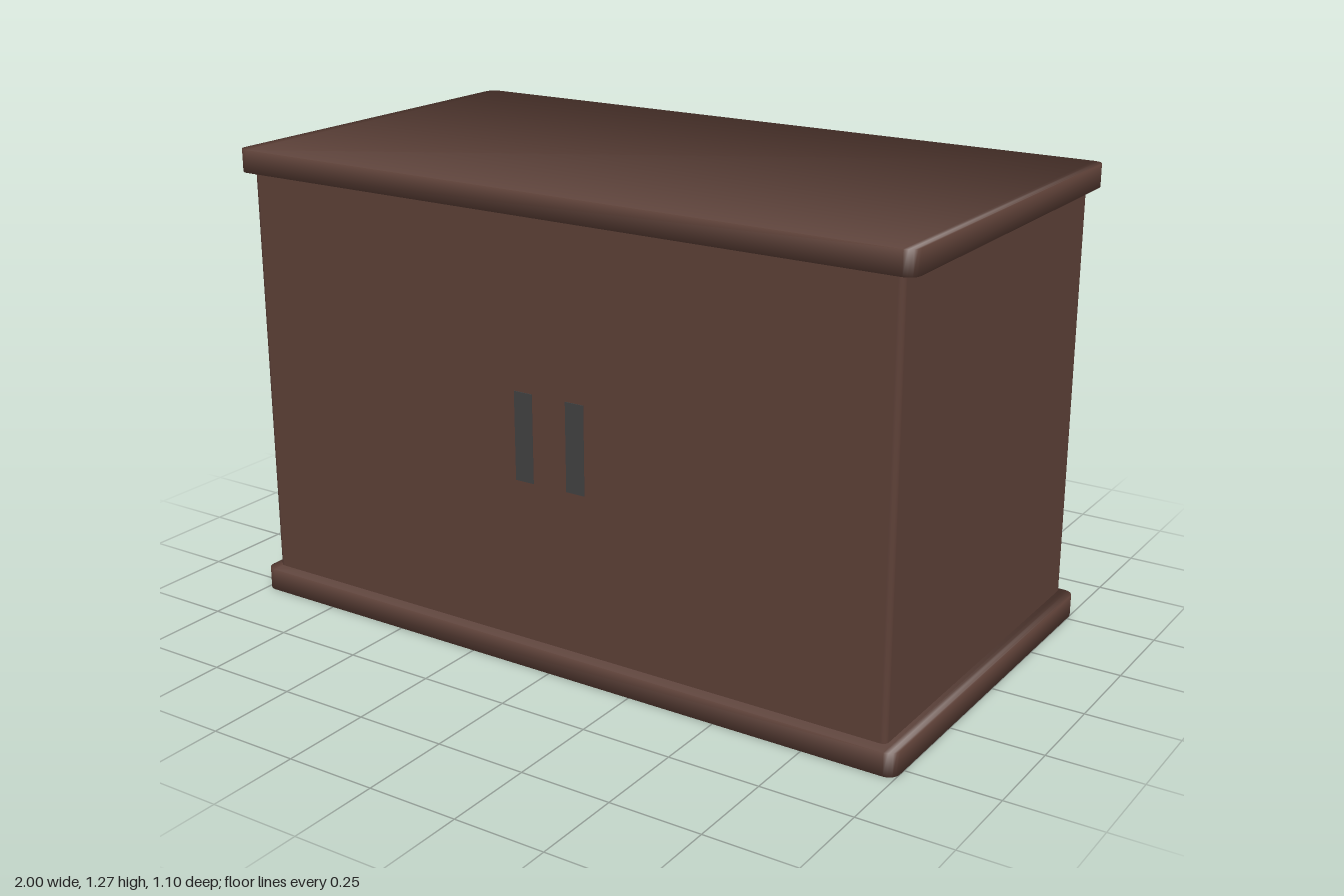
import * as THREE from 'three';

// Slab with rounded vertical corners; tilt leans the soft normals toward the caps.
function slab(w, h, d, r, tilt) {
  const n = 4, last = 2 * n + 1;
  const pos = [], nor = [], idx = [];
  for (let k = 0; k <= last; k++) {
    const right = k > n;
    const ang = Math.PI - ((right ? k - 1 : k) / n) * (Math.PI / 2);
    const nx = Math.cos(ang), nz = Math.sin(ang);
    const x = (right ? 1 : -1) * (w / 2 - r) + r * nx;
    const z = d / 2 - r + r * nz;
    for (const s of [1, -1]) {
      for (const t of [1, -1]) {
        pos.push(x, t * h / 2, s * z);
        const v = new THREE.Vector3(nx, t * tilt, s * nz).normalize();
        nor.push(v.x, v.y, v.z);
      }
    }
  }
  const quad = (a, b, c, e) => idx.push(a, b, c, a, c, e);
  // Corner order in each column: front top, front bottom, back top, back bottom
  for (let k = 0; k < last; k++) {
    const a = 4 * k, b = a + 4;
    quad(a, b, b + 2, a + 2);
    quad(a + 3, b + 3, b + 1, a + 1);
    quad(a + 1, b + 1, b, a);
    quad(b + 3, a + 3, a + 2, b + 2);
  }
  const e = 4 * last;
  quad(3, 1, 0, 2);
  quad(e + 1, e + 3, e + 2, e);
  const g = new THREE.BufferGeometry();
  g.setAttribute('position', new THREE.Float32BufferAttribute(pos, 3));
  g.setAttribute('normal', new THREE.Float32BufferAttribute(nor, 3));
  g.setIndex(idx);
  return g;
}

export function createModel() {
  const group = new THREE.Group();
  group.name = 'cabinet';

  const wood = new THREE.MeshStandardMaterial({ color: 0x5d4037 });
  wood.name = 'brown wood';
  const metal = new THREE.MeshStandardMaterial({ color: 0x424242 });
  metal.name = 'dark metal';

  const add = (name, geometry, material, x, y, z) => {
    const mesh = new THREE.Mesh(geometry, material);
    mesh.name = name;
    mesh.position.set(x, y, z);
    group.add(mesh);
    return mesh;
  };

  // Base board, body and top board
  const board = slab(2, 0.062, 1.1, 0.03, 0.7);
  add('baseBoard', board, wood, 0, 0.031, 0.003);
  add('body', slab(1.93, 1.14, 1.056, 0.015, 0), wood, 0, 0.641, 0.003);
  add('topBoard', board, wood, 0, 1.242, 0.003);

  // Raised handles on the back, flush plates on the front
  const handle = slab(0.055, 0.03, 0.24, 0.014, 0.7);
  const plate = new THREE.BoxGeometry(0.055, 0.24, 0.004);
  for (const side of [1, -1]) {
    const label = side > 0 ? 'left' : 'right';
    add(label + 'BackHandle', handle, metal, side * 0.079, 0.631, -0.536).rotation.x = -Math.PI / 2;
    add(label + 'FrontPlate', plate, metal, side * 0.079, 0.631, 0.531);
  }
  return group;
}
